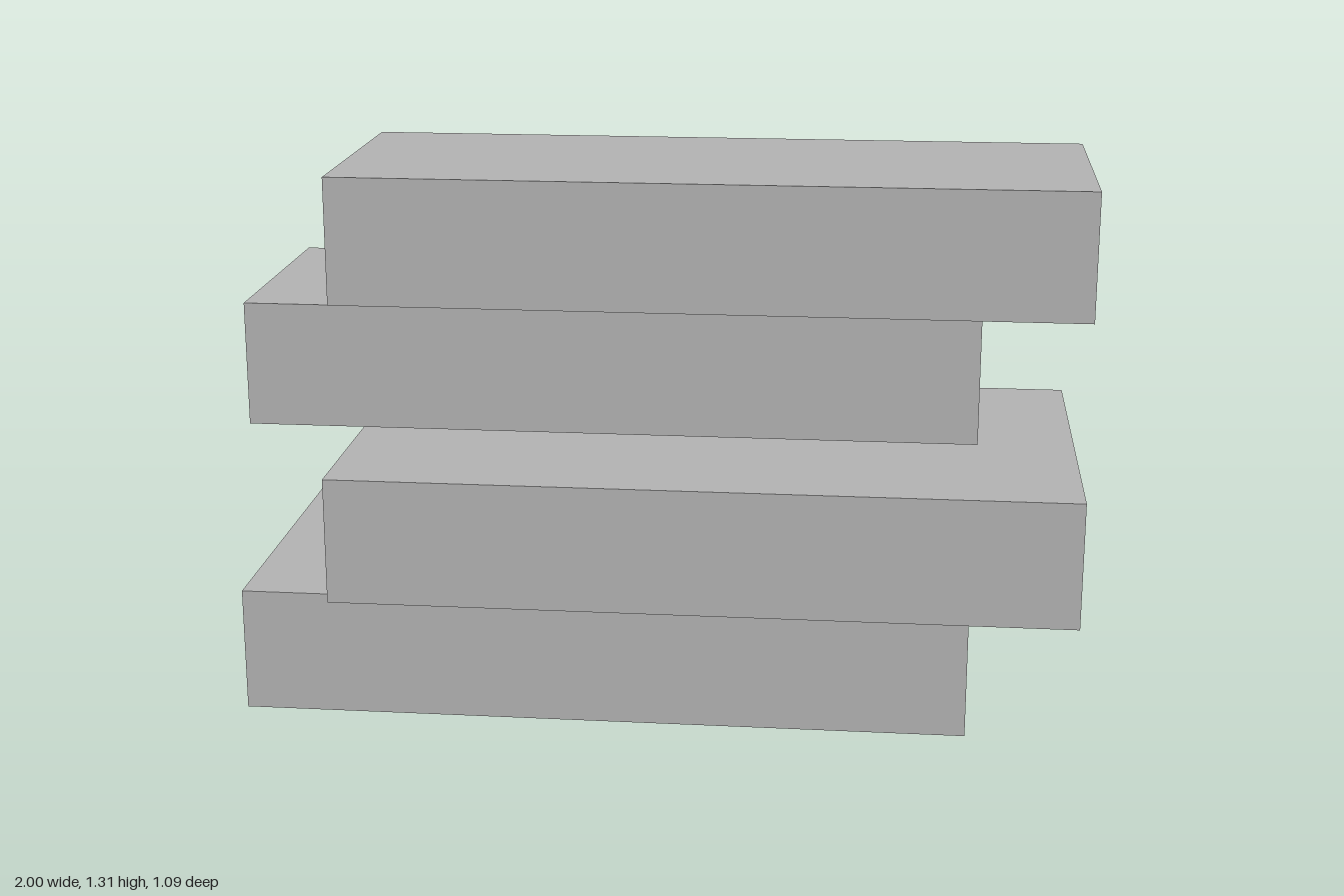
import * as THREE from 'three';

// Each slab: [x min, x max, z min, z max], listed from bottom to top
const SLABS = [
  ['bottomSlab', -0.995, 0.745, -0.545, 0.397],
  ['lowerMiddleSlab', -0.747, 0.99, -0.395, 0.545],
  ['upperMiddleSlab', -1, 0.755, -0.388, 0.238],
  ['topSlab', -0.757, 1, -0.238, 0.39],
];
const THICKNESS = 0.301;
const STEP = 0.3375; // thickness plus the gap between slabs

export function createModel() {
  const model = new THREE.Group();
  model.name = 'staggeredSlabs';
  const grey = new THREE.MeshStandardMaterial({ color: 0xb2b2b2 });
  grey.name = 'grey';

  // Stack of separate slabs, alternately shifted sideways and in depth
  SLABS.forEach(([name, x0, x1, z0, z1], i) => {
    const slab = new THREE.Mesh(new THREE.BoxGeometry(x1 - x0, THICKNESS, z1 - z0), grey);
    slab.name = name;
    slab.position.set((x0 + x1) / 2, i * STEP + THICKNESS / 2, (z0 + z1) / 2);
    model.add(slab);
  });
  return model;
}
